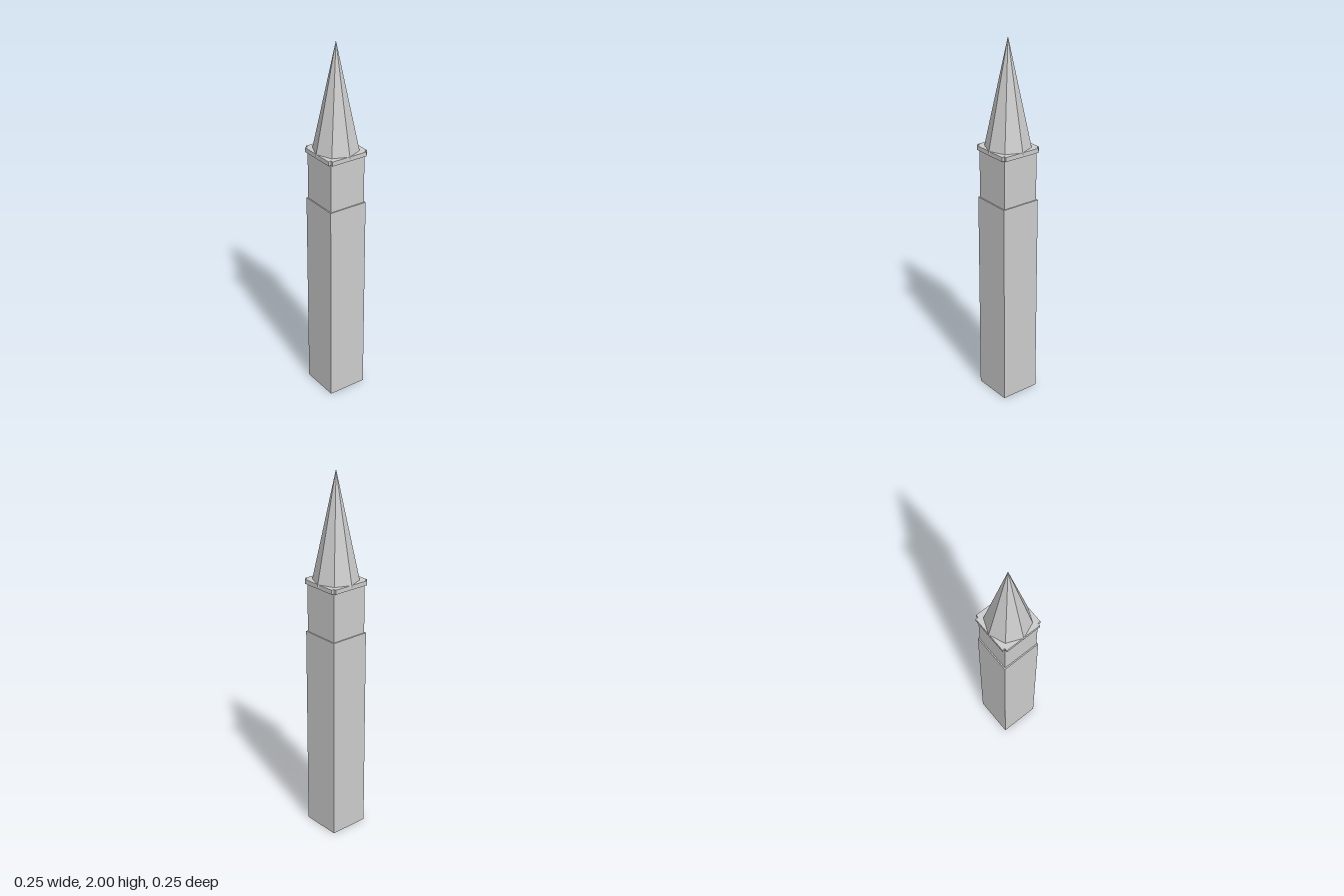
import * as THREE from 'three';

export function createModel() {
  const group = new THREE.Group();
  group.name = 'tower';
  const material = new THREE.MeshStandardMaterial({ color: 0xcccccc, flatShading: true });

  function add(name, geometry, x, y, z) {
    const mesh = new THREE.Mesh(geometry, material);
    mesh.name = name;
    mesh.position.set(x, y, z);
    group.add(mesh);
    return mesh;
  }
  function block(name, width, bottom, top) {
    add(name, new THREE.BoxGeometry(width, top - bottom, width), 0, (bottom + top) / 2, 0);
  }

  // Square shaft with a slightly narrower belfry
  block('shaft', 0.22, 0, 1.14);
  block('belfry', 0.207, 1.14, 1.43);

  // Cornice: one strip per side, leaving the corners notched
  const inner = 0.1035, outer = 0.119, bottom = 1.406, top = 1.43;
  for (let i = 0; i < 4; i++) {
    const angle = i * Math.PI / 2, r = (inner + outer) / 2;
    const strip = add('cornice', new THREE.BoxGeometry(inner * 2, top - bottom, outer - inner),
      Math.sin(angle) * r, (bottom + top) / 2, Math.cos(angle) * r);
    strip.rotation.y = angle;
  }

  // Eight-sided spire with its corners on the axes
  const base = 1.42;
  add('spire', new THREE.ConeGeometry(0.123, 2 - base, 8), 0, (2 + base) / 2, 0);

  return group;
}
